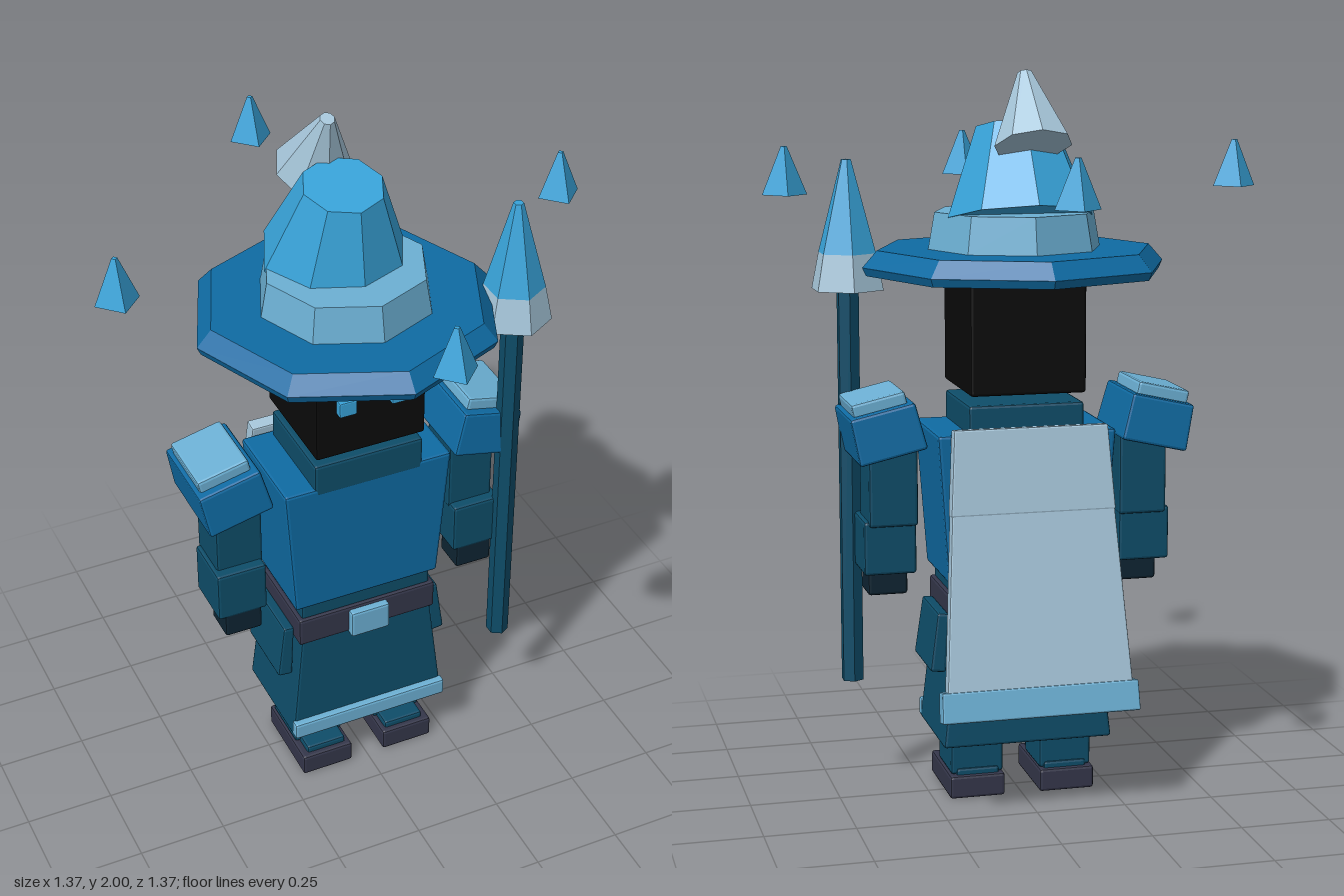
import * as THREE from 'three';
import { RoundedBoxGeometry } from 'three/addons/geometries/RoundedBoxGeometry.js';

const COLORS = {
  blue: 0x0f6ba3, teal: 0x0e4d69, sky: 0x38a3d9, light: 0x6cb0d4,
  pale: 0xa6c6da, black: 0x0a0a0a, leather: 0x34364a, glove: 0x0e2432,
};

export function createModel() {
  const root = new THREE.Group();
  root.name = 'wizard';
  const mats = {};
  for (const [name, color] of Object.entries(COLORS)) {
    mats[name] = new THREE.MeshStandardMaterial({ color });
    mats[name].name = name;
  }

  const add = (name, mat, geo, pos, rx = 0, rz = 0) => {
    const mesh = new THREE.Mesh(geo, mats[mat]);
    mesh.name = name;
    mesh.position.set(...pos);
    mesh.rotation.set(rx, 0, rz);
    root.add(mesh);
    return mesh;
  };

  // Chamfered box; topX and topZ scale its upper end
  const block = (w, h, d, topX = 1, topZ = 1, bevel = 0.008) => {
    const g = new RoundedBoxGeometry(w, h, d, 1, Math.min(bevel, w / 4, h / 4, d / 4));
    const p = g.attributes.position;
    for (let i = 0; i < p.count; i++) {
      const t = p.getY(i) / h + 0.5;
      p.setX(i, p.getX(i) * (1 + (topX - 1) * t));
      p.setZ(i, p.getZ(i) * (1 + (topZ - 1) * t));
    }
    g.computeVertexNormals();
    return g;
  };

  // Faceted frustum with a corner facing +z
  const frustum = (rTop, rBottom, h, sides) => {
    const g = new THREE.CylinderGeometry(rTop, rBottom, h, sides).toNonIndexed();
    g.computeVertexNormals();
    return g;
  };

  // Feet, legs, hip flaps, arms, shoulder pads and eyes, mirrored
  for (const s of [1, -1]) {
    const side = s > 0 ? 'left' : 'right';
    add(side + 'Boot', 'leather', block(0.156, 0.065, 0.25), [s * 0.128, 0.037, 0.033]);
    add(side + 'BootTop', 'teal', block(0.12, 0.03, 0.22), [s * 0.125, 0.073, 0.03]);
    add(side + 'Leg', 'teal', block(0.148, 0.13, 0.16), [s * 0.126, 0.135, 0.005]);
    add(side + 'HipFlap', 'teal', block(0.045, 0.165, 0.215, 0.7, 0.95), [s * 0.232, 0.457, 0.008], 0, s * 0.1);
    add(side + 'UpperArm', 'teal', block(0.135, 0.23, 0.14), [s * 0.352, 0.895, 0.008]);
    add(side + 'Forearm', 'teal', block(0.145, 0.15, 0.16), [s * 0.36, 0.72, 0.03]);
    add(side + 'Hand', 'glove', block(0.11, 0.09, 0.1), [s * 0.357, 0.62, 0.055]);
    add(side + 'ShoulderPad', 'blue', block(0.19, 0.13, 0.268, 0.95, 0.93), [s * 0.377, 1.047, 0.002], 0, -s * 0.225);
    add(side + 'PadCap', 'light', block(0.15, 0.04, 0.2), [s * 0.396, 1.123, 0], 0, -s * 0.225);
    add(side + 'Eye', 'sky', block(0.05, 0.045, 0.025, 1, 1, 0.004), [s * 0.076, 1.303, 0.173]);
  }

  // Robe and torso
  add('skirt', 'teal', block(0.475, 0.36, 0.315, 0.83, 0.9), [0, 0.353, 0.002]);
  add('skirtTrim', 'light', block(0.475, 0.052, 0.03), [0, 0.201, 0.163]);
  add('belt', 'leather', block(0.42, 0.088, 0.282), [0, 0.546, 0.01]);
  add('buckle', 'light', block(0.118, 0.085, 0.03), [0, 0.538, 0.158]);
  add('waist', 'teal', block(0.395, 0.06, 0.27), [0, 0.614, 0.005]);
  add('chest', 'blue', block(0.435, 0.41, 0.285, 1.14, 1.06), [0, 0.835, 0.004]);
  add('collar', 'teal', block(0.32, 0.1, 0.29), [0, 1.066, 0.01]);
  add('head', 'black', block(0.32, 0.32, 0.32), [0, 1.304, 0.004]);

  // Cape hanging down and away from the back: [y, z] at upper and lower ends
  const capePart = (name, mat, [y0, z0], [y1, z1], wTop, wBottom, depth) => add(
    name, mat, block(wBottom, Math.hypot(y0 - y1, z0 - z1), depth, wTop / wBottom, 1, 0.005),
    [0, (y0 + y1) / 2, (z0 + z1) / 2], Math.atan2(z0 - z1, y0 - y1));
  capePart('upperCape', 'pale', [1.06, -0.168], [0.83, -0.197], 0.425, 0.456, 0.04);
  capePart('lowerCape', 'pale', [0.84, -0.195], [0.36, -0.274], 0.45, 0.515, 0.038);
  capePart('capeTrim', 'light', [0.37, -0.272], [0.288, -0.288], 0.545, 0.55, 0.045);

  // Bent pointed hat
  add('hatBrim', 'blue', frustum(0.38, 0.42, 0.045, 8), [0, 1.503, 0]);
  add('hatBrimEdge', 'blue', frustum(0.42, 0.41, 0.022, 8), [0, 1.469, 0]);
  add('hatBand', 'light', frustum(0.222, 0.24, 0.1, 8), [0, 1.575, 0]);
  add('hatCone', 'sky', frustum(0.11, 0.2, 0.243, 8), [0, 1.734, -0.04], 0.224);
  add('hatTip', 'pale', frustum(0.02, 0.105, 0.206, 8), [0, 1.903, -0.153], 0.455);

  // Staff on the left side
  const sx = 0.439, sz = 0.118;
  add('staffShaft', 'teal', frustum(0.032, 0.032, 1.13, 6), [sx, 0.875, sz]);
  add('staffSocket', 'pale', frustum(0.083, 0.104, 0.1, 6), [sx, 1.46, sz]);
  add('staffPoint', 'sky', frustum(0.014, 0.083, 0.252, 6), [sx, 1.636, sz]);

  // Four crystals floating around the hat
  for (let i = 0; i < 4; i++) {
    const a = i * Math.PI / 2;
    add('crystal' + (i + 1), 'sky', frustum(0.008, 0.06, 0.127, 4),
      [0.625 * Math.sin(a), 1.743, 0.625 * Math.cos(a)]);
  }
  return root;
}
